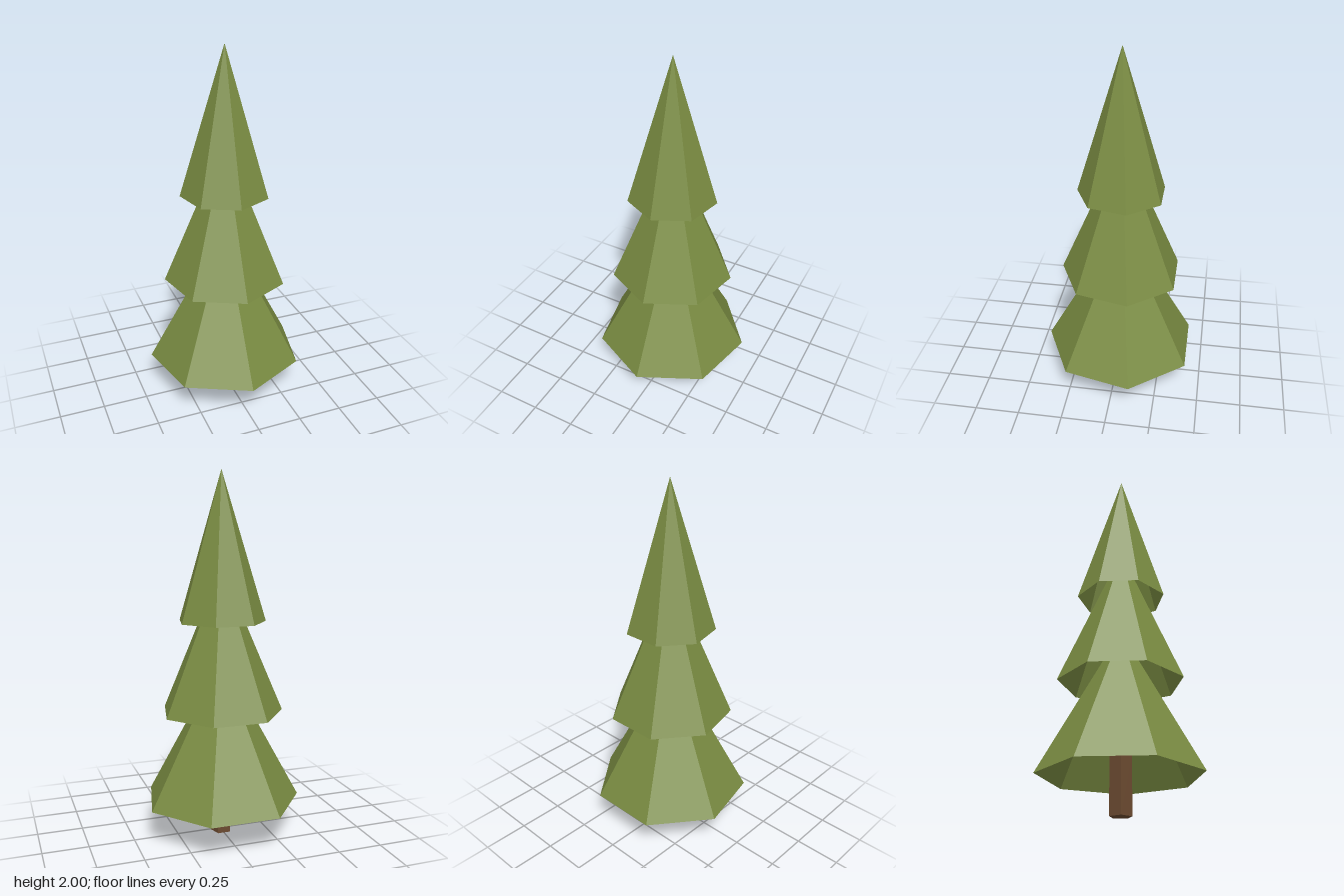
import * as THREE from 'three';

export function createModel() {
  const tree = new THREE.Group();
  tree.name = 'pineTree';

  const needles = new THREE.MeshStandardMaterial({ color: 0x7a8c42, flatShading: true, side: THREE.DoubleSide });
  needles.name = 'needleGreen';
  const bark = new THREE.MeshStandardMaterial({ color: 0x6b4a30, flatShading: true });
  bark.name = 'barkBrown';

  const axisZ = -0.022; // odd-sided rings sit slightly off centre

  // Five-sided trunk, reaching up inside the lowest tier
  const trunkHeight = 0.32;
  const trunk = new THREE.Mesh(new THREE.CylinderGeometry(0.06, 0.06, trunkHeight, 5), bark);
  trunk.name = 'trunk';
  trunk.position.set(0, trunkHeight / 2, axisZ);
  tree.add(trunk);

  // Three hollow seven-sided foliage tiers: [name, radius, base height]
  const tierHeight = 0.8;
  const tiers = [
    ['lowerFoliage', 0.437, 0.2],
    ['middleFoliage', 0.341, 0.7],
    ['upperFoliage', 0.244, 1.2],
  ];
  for (const [name, radius, base] of tiers) {
    const tier = new THREE.Mesh(new THREE.ConeGeometry(radius, tierHeight, 7, 1, true), needles);
    tier.name = name;
    tier.position.set(0, base + tierHeight / 2, axisZ);
    tree.add(tier);
  }

  return tree;
}
